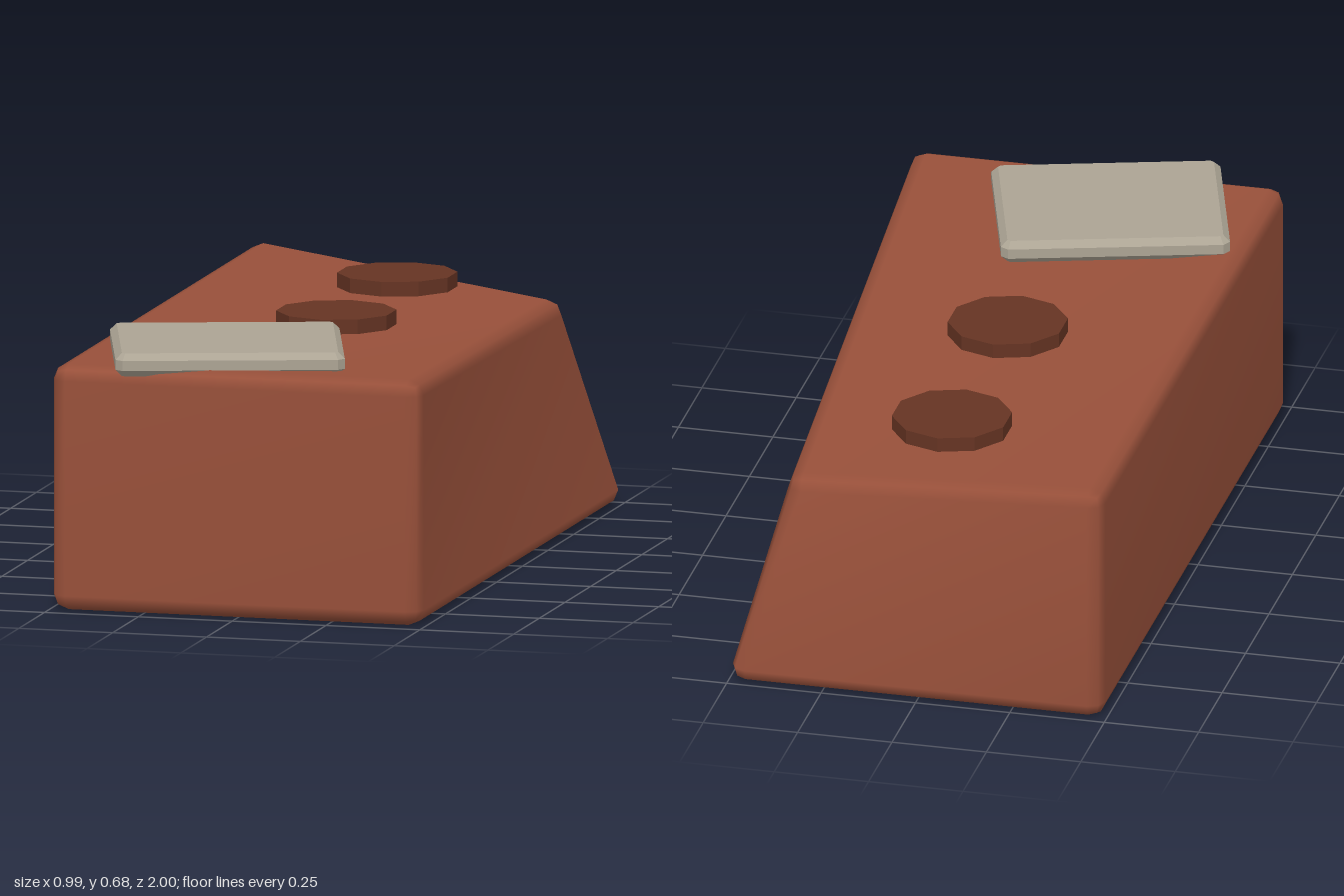
import * as THREE from 'three';
import { RoundedBoxGeometry } from 'three/addons/geometries/RoundedBoxGeometry.js';
import { mergeVertices } from 'three/addons/utils/BufferGeometryUtils.js';

const paint = (name, color) => {
  const material = new THREE.MeshStandardMaterial({ color });
  material.name = name;
  return material;
};

// Rounded block whose back left top corner is knocked inwards
function brickGeometry() {
  let geometry = new RoundedBoxGeometry(0.986, 0.64, 1.975, 1, 0.04);
  geometry.deleteAttribute('normal');
  geometry.deleteAttribute('uv');
  geometry.clearGroups();
  geometry = mergeVertices(geometry);
  const p = geometry.attributes.position;
  for (let i = 0; i < p.count; i++) {
    if (p.getX(i) > 0 && p.getY(i) > 0 && p.getZ(i) < 0) {
      p.setXYZ(i, p.getX(i) - 0.12, p.getY(i) - 0.092, p.getZ(i) + 0.115);
    }
  }
  geometry.computeVertexNormals();
  return geometry;
}

// Flat slab with clipped corners and chamfered rims
function slabGeometry(width, depth, height, chamfer) {
  const x = width / 2 - chamfer, z = depth / 2 - chamfer, c = 0.008;
  const outline = new THREE.Shape([
    [x - c, -z], [x, -z + c], [x, z - c], [x - c, z],
    [-x + c, z], [-x, z - c], [-x, -z + c], [-x + c, -z],
  ].map(([a, b]) => new THREE.Vector2(a, b)));
  const geometry = new THREE.ExtrudeGeometry(outline, {
    depth: height - 2 * chamfer, bevelEnabled: true,
    bevelSize: chamfer, bevelThickness: chamfer, bevelSegments: 1,
  });
  return geometry.rotateX(-Math.PI / 2).translate(0, chamfer, 0);
}

export function createModel() {
  const group = new THREE.Group();
  group.name = 'brick';
  const clay = paint('clay red', 0x98503a);
  const darkClay = paint('dark clay', 0x663423);
  const mortarGrey = paint('mortar grey', 0xaca494);

  const add = (name, geometry, material, x, y, z) => {
    const mesh = new THREE.Mesh(geometry, material);
    mesh.name = name;
    mesh.position.set(x, y, z);
    group.add(mesh);
    return mesh;
  };

  add('brickBody', brickGeometry(), clay, 0, 0.322, -0.0125);

  // Dark round holes shown as ten-sided discs
  const disc = new THREE.CylinderGeometry(0.155, 0.155, 0.038, 10).toNonIndexed();
  disc.computeVertexNormals();
  add('frontHole', disc, darkClay, 0, 0.626, -0.015);
  add('backHole', disc, darkClay, 0, 0.626, -0.61);

  // Leftover mortar, turned on the top face
  const mortar = add('mortarSlab', slabGeometry(0.59, 0.5, 0.06, 0.017), mortarGrey, -0.1, 0.624, 0.68);
  mortar.rotation.y = THREE.MathUtils.degToRad(17);

  return group;
}
